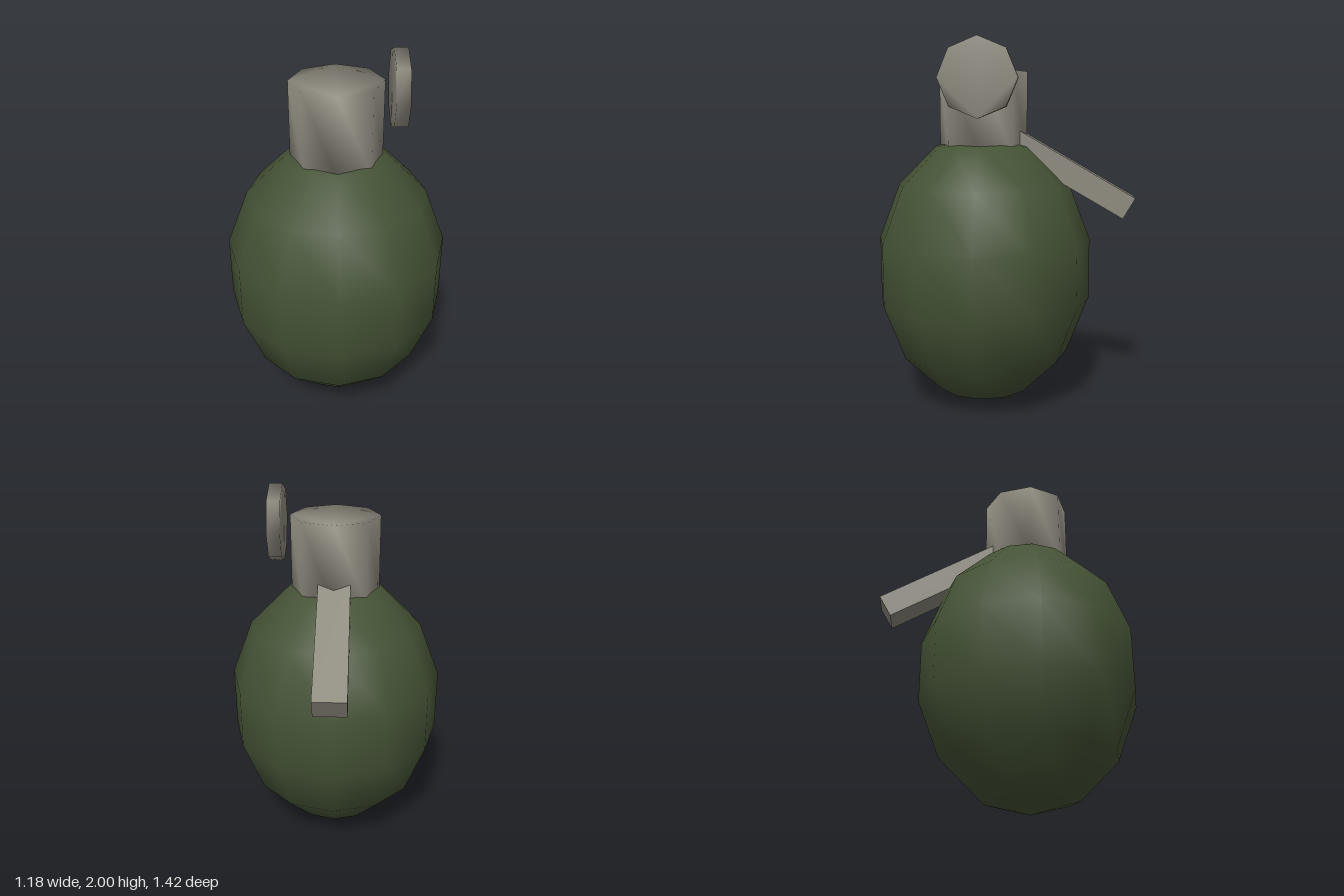
import * as THREE from 'three';
import { mergeVertices } from 'three/addons/utils/BufferGeometryUtils.js';

const AXIS_Z = 0.12; // the body, neck and disc share this axis

const green = new THREE.MeshStandardMaterial({ color: 0x445235 });
const metal = new THREE.MeshStandardMaterial({ color: 0x8c897d });

// Eight-sided solid along +z, with normals shared across caps and sides
function smoothOctagon(radius, depth) {
  const corners = [];
  for (let i = 0; i < 8; i++) {
    const a = (i * Math.PI) / 4;
    corners.push(new THREE.Vector2(Math.cos(a) * radius, Math.sin(a) * radius));
  }
  const extruded = new THREE.ExtrudeGeometry(new THREE.Shape(corners), { depth, bevelEnabled: false });
  extruded.deleteAttribute('normal');
  extruded.deleteAttribute('uv');
  const geometry = mergeVertices(extruded, 1e-4);
  geometry.computeVertexNormals();
  return geometry;
}

export function createModel() {
  const group = new THREE.Group();
  const add = (name, geometry, material) => {
    const mesh = new THREE.Mesh(geometry, material);
    mesh.name = name;
    group.add(mesh);
    return mesh;
  };

  // Egg-shaped body
  const bodyShape = new THREE.SphereGeometry(0.605, 12, 7);
  bodyShape.scale(1, 1.25, 1);
  add('body', bodyShape, green).position.set(0, 0.757, AXIS_Z);

  // Neck rising out of the top of the body
  const neck = add('neck', smoothOctagon(0.24, 0.44), metal);
  neck.rotation.x = -Math.PI / 2;
  neck.position.set(0, 1.4, AXIS_Z);

  // Pull disc standing beside the neck
  const disc = add('pullDisc', smoothOctagon(0.205, 0.07), metal);
  disc.rotation.y = Math.PI / 2;
  disc.position.set(0.275, 1.795, AXIS_Z);

  // Lever sloping down and back from the neck
  const length = 0.84;
  const leverShape = new THREE.BoxGeometry(0.17, 0.13, length);
  leverShape.translate(0, 0, length / 2); // origin at the free end
  const lever = add('lever', leverShape, metal);
  lever.rotation.x = -Math.PI / 6;
  lever.position.set(0, 1.106, -0.676);

  return group;
}
